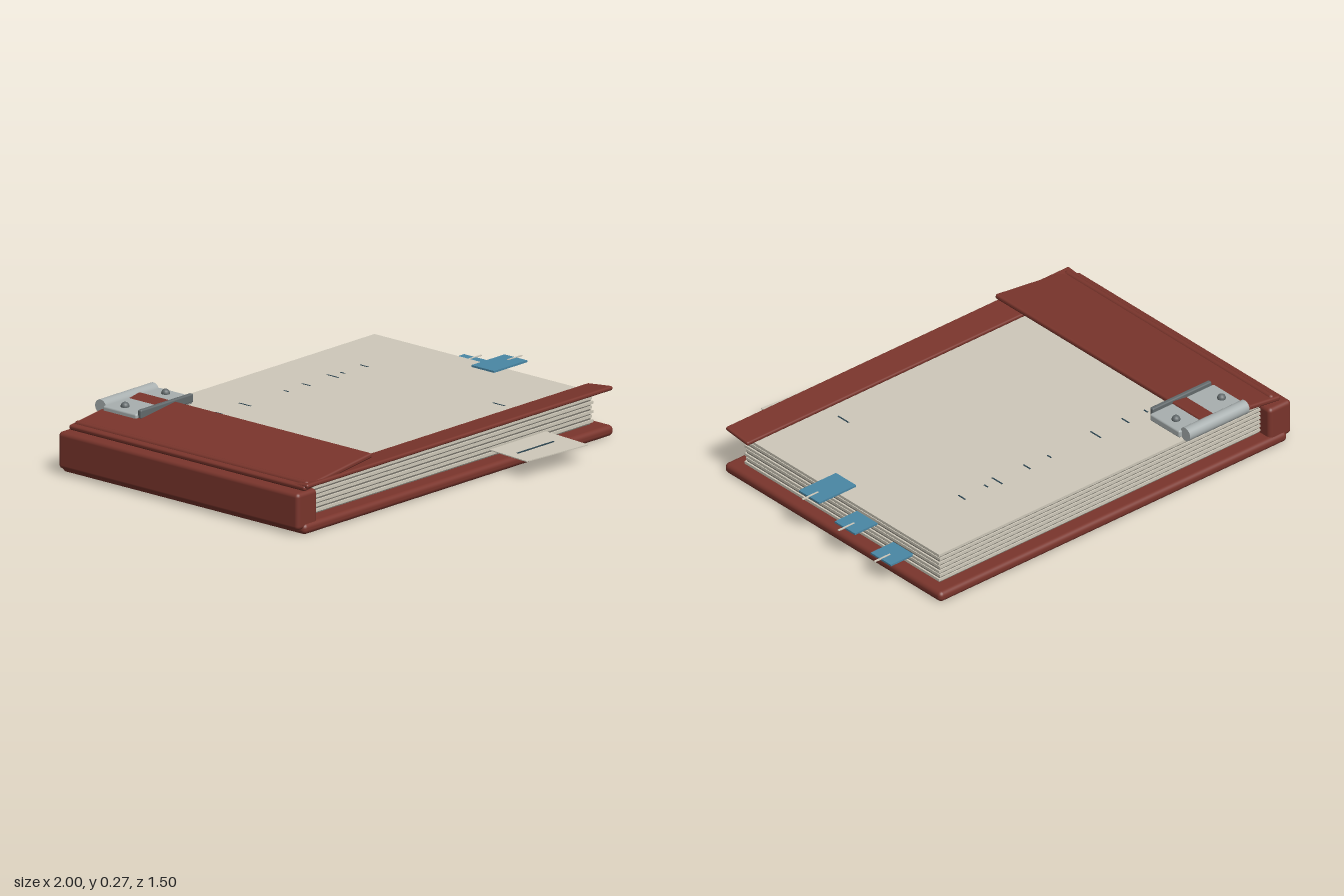
import * as THREE from 'three';
import { RoundedBoxGeometry } from 'three/addons/geometries/RoundedBoxGeometry.js';

const mat = (name, color) => Object.assign(new THREE.MeshStandardMaterial({ color }), { name });

export function createModel() {
  const leather = mat('leather', 0x7a352c);
  const paper = mat('paper', 0xcfc9ba);
  const pageEdge = mat('page edge', 0x77746b);
  const metal = mat('metal', 0xa9b0b0);
  const rivetMetal = mat('rivet metal', 0x636a6c);
  const blue = mat('blue tab', 0x4a87a5);
  const ink = mat('ink', 0x2c4450);

  const model = new THREE.Group();
  model.name = 'folder';

  const add = (name, geo, material, x, y, z, parent = model) => {
    const m = new THREE.Mesh(geo, material);
    m.name = name;
    m.position.set(x, y, z);
    parent.add(m);
    return m;
  };
  // Box given by its limits on each axis; r > 0 rounds the edges
  const block = (name, material, [x0, x1], [y0, y1], [z0, z1], r = 0, parent = model) => {
    const s = [x1 - x0, y1 - y0, z1 - z0];
    const geo = r ? new RoundedBoxGeometry(...s, 3, r) : new THREE.BoxGeometry(...s);
    return add(name, geo, material, (x0 + x1) / 2, (y0 + y1) / 2, (z0 + z1) / 2, parent);
  };
  const rod = (name, material, r, length, x, y, z, axis, parent = model) => {
    const geo = new THREE.CapsuleGeometry(r, length - 2 * r, 4, 16);
    if (axis === 'x') geo.rotateZ(Math.PI / 2);
    else geo.rotateX(Math.PI / 2);
    return add(name, geo, material, x, y, z, parent);
  };

  // Covers
  block('bottomCover', leather, [-0.97, 0.9], [0, 0.046], [-0.752, 0.576], 0.02);
  block('spine', leather, [-1, -0.88], [0.022, 0.179], [-0.742, 0.566], 0.018);
  const flap = add('sideFlap', new RoundedBoxGeometry(0.415, 0.022, 1.283, 3, 0.009),
    leather, -0.755, 0.2175, -0.076);
  flap.rotation.z = 0.125;
  const strip = add('frontFlap', new RoundedBoxGeometry(1.845, 0.018, 0.137, 3, 0.008),
    leather, -0.033, 0.197, 0.51);
  strip.rotation.x = -0.11;
  rod('foldRidge', leather, 0.014, 1.27, -0.925, 0.203, -0.076, 'z');

  // Stack of pages: thick sheets with darker recessed gaps
  const pages = new THREE.Group();
  pages.name = 'pages';
  model.add(pages);
  const sheets = 7, pitch = 0.0195;
  for (let i = 0; i < sheets; i++) {
    const y = 0.046 + i * pitch, shift = (i % 2) * 0.004;
    block('pageGap', pageEdge, [-0.875, 0.842], [y, y + 0.008], [-0.68, 0.498], 0, pages);
    block('page', paper, [-0.878, 0.85 - shift], [y + 0.008, y + pitch], [-0.686, 0.506 - shift], 0, pages);
  }
  const pageTop = 0.046 + sheets * pitch;

  // Faint marks on the top page
  [[-0.5, -0.42], [-0.39, -0.42], [-0.23, -0.42], [0.02, -0.42], [0.14, -0.42], [0.3, -0.42],
    [0.36, -0.42], [0.49, -0.42], [0.46, 0.34]].forEach(([x, z], i) => {
    const l = 0.012 + (i % 3) * 0.01;
    block('inkMark', ink, [x, x + 0.007], [pageTop, pageTop + 0.001], [z - l, z + l]);
  });

  // Index tabs with pale threads
  [[-0.46, 0.101, 0.8], [-0.24, 0.146, 0.8], [-0.02, 0.19, 0.765]].forEach(([z, y, x0]) => {
    block('indexTab', blue, [x0, 0.965], [y - 0.004, y + 0.004], [z - 0.062, z + 0.062]);
    block('tabThread', paper, [0.915, 1], [y + 0.002, y + 0.006], [z - 0.004, z + 0.004]);
  });

  // Loose slip sticking out at the front
  const slip = new THREE.Group();
  slip.name = 'looseSlip';
  slip.position.set(0.39, 0.076, 0.6);
  model.add(slip);
  const sheet = block('slipPaper', paper, [-0.17, 0.17], [-0.002, 0.002], [-0.136, 0.136], 0, slip);
  sheet.rotation.y = -0.085;
  block('slipLine', ink, [-0.125, 0.093], [0.002, 0.004], [0.016, 0.026], 0, slip);

  // Metal clip at the back of the side flap
  const clip = new THREE.Group();
  clip.name = 'clip';
  model.add(clip);
  block('clipPlate', metal, [-0.775, -0.43], [0.212, 0.245], [-0.7, -0.518], 0.008, clip);
  const roll = new THREE.CylinderGeometry(0.03, 0.03, 0.32, 24).rotateZ(Math.PI / 2);
  add('clipRoll', roll, metal, -0.605, 0.235, -0.72, clip);
  block('clipLip', rivetMetal, [-0.762, -0.445], [0.225, 0.262], [-0.522, -0.502], 0.006, clip);
  for (const x of [-0.725, -0.48]) {
    const dome = new THREE.SphereGeometry(0.018, 16, 10);
    add('rivet', dome, rivetMetal, x, 0.248, -0.623, clip);
  }
  return model;
}
